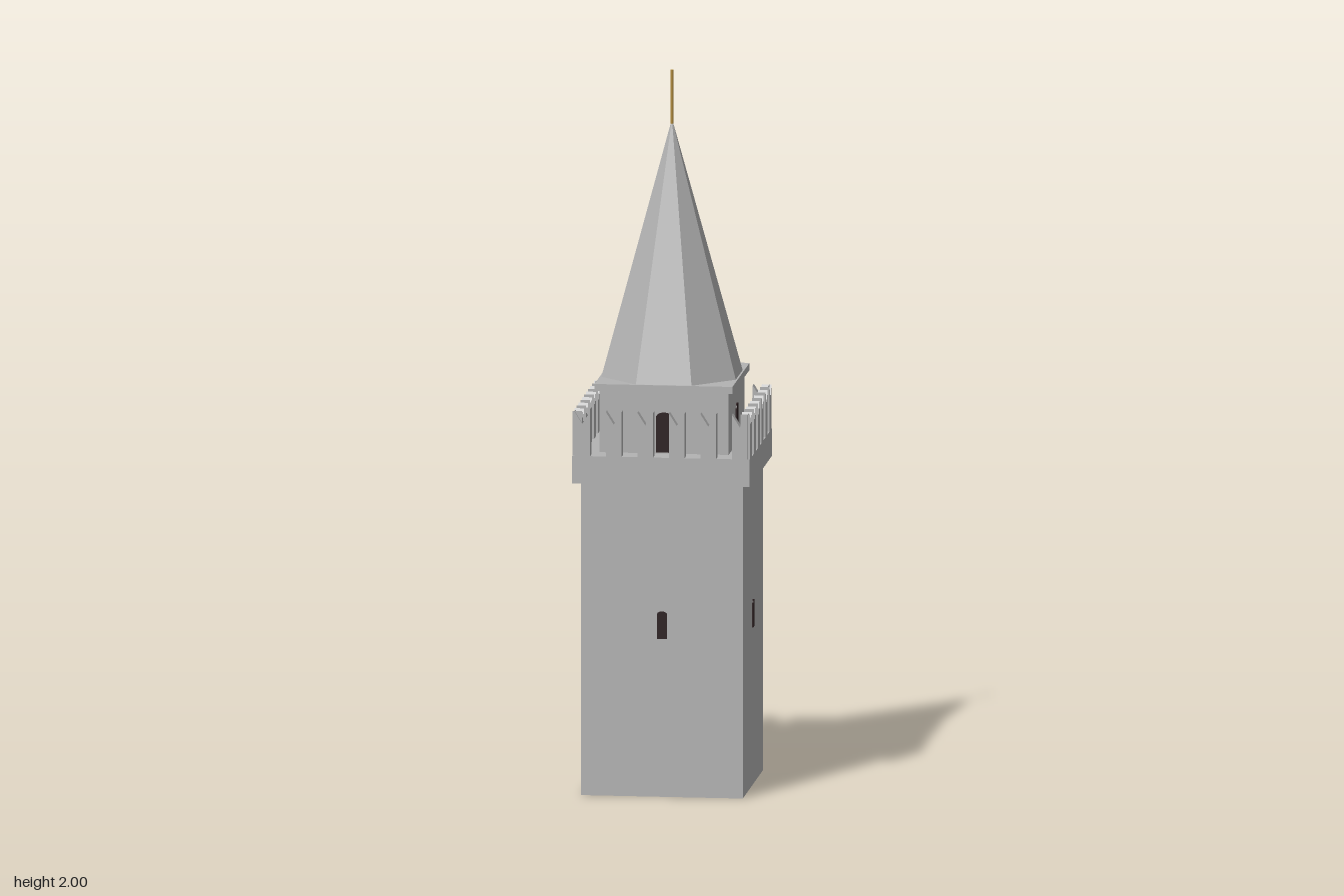
import * as THREE from 'three';

export function createModel() {
  const tower = new THREE.Group();
  tower.name = 'tower';
  const stone = new THREE.MeshStandardMaterial({ color: 0xb3b3b3 });
  const openStone = stone;
  openStone.side = THREE.DoubleSide;
  stone.name = 'stone';
  stone.flatShading = true;
  const dark = new THREE.MeshStandardMaterial({ color: 0x2a1c1e });
  dark.name = 'windowDark';
  const brass = new THREE.MeshStandardMaterial({ color: 0xb08a3c });
  brass.name = 'brass';

  const add = (name, geometry, material, y, parent = tower) => {
    const mesh = new THREE.Mesh(geometry, material);
    mesh.name = name;
    mesh.position.y = y;
    parent.add(mesh);
    return mesh;
  };
  const block = (name, half, y0, y1) =>
    add(name, new THREE.BoxGeometry(half * 2, y1 - y0, half * 2), stone, (y0 + y1) / 2);

  // Square shaft, hollow and open underneath
  const shaft = new THREE.CylinderGeometry(0.225 * Math.SQRT2, 0.225 * Math.SQRT2, 0.88, 4, 1, true);
  shaft.rotateY(Math.PI / 4);
  add('shaft', shaft, openStone, 0.44);

  // Gallery, belfry and roof slab
  block('gallery', 0.247, 0.878, 0.955);
  block('belfry', 0.18, 0.955, 1.128);
  block('roofSlab', 0.192, 1.128, 1.148);

  // Eight-sided spire with flat sides to the front
  const spire = new THREE.ConeGeometry(0.187 / Math.cos(Math.PI / 8), 0.715, 8, 1, false, Math.PI / 8);
  add('spire', spire, stone, 1.148 + 0.715 / 2);
  add('finial', new THREE.CylinderGeometry(0.004, 0.004, 0.16, 8), brass, 1.92);

  // Swallowtail merlon, notched in a V
  const w = 0.022;
  const merlonShape = new THREE.Shape([
    [-w, 0.95], [w, 0.95], [w, 1.08], [0, 1.045], [-w, 1.08],
  ].map(([x, y]) => new THREE.Vector2(x, y)));
  const merlon = new THREE.ExtrudeGeometry(merlonShape, { depth: 0.027, bevelEnabled: false });

  // Thin window plate with a low arched head
  const windowPlate = (half, y0, y1) => {
    const s = new THREE.Shape();
    s.moveTo(-half, y0);
    s.lineTo(half, y0);
    s.lineTo(half, y1 - half * 0.6);
    s.absellipse(0, y1 - half * 0.6, half, half * 0.6, 0, Math.PI, false);
    s.lineTo(-half, y0);
    return new THREE.ExtrudeGeometry(s, { depth: 0.004, bevelEnabled: false, curveSegments: 6 });
  };
  const lowWindow = windowPlate(0.014, 0.443, 0.52);
  const highWindow = windowPlate(0.022, 0.958, 1.07);

  // The same merlons and windows on all four sides
  for (let i = 0; i < 4; i++) {
    const side = new THREE.Group();
    side.name = ['front', 'left', 'back', 'right'][i] + 'Side';
    side.rotation.y = i * Math.PI / 2;
    tower.add(side);
    for (let k = 0; k < 6; k++) {
      add('merlon', merlon, stone, 0, side).position.set((k - 2.5) * 0.0877, 0, 0.22);
    }
    add('shaftWindow', lowWindow, dark, 0, side).position.z = 0.224;
    add('belfryWindow', highWindow, dark, 0, side).position.z = 0.179;
  }
  return tower;
}
